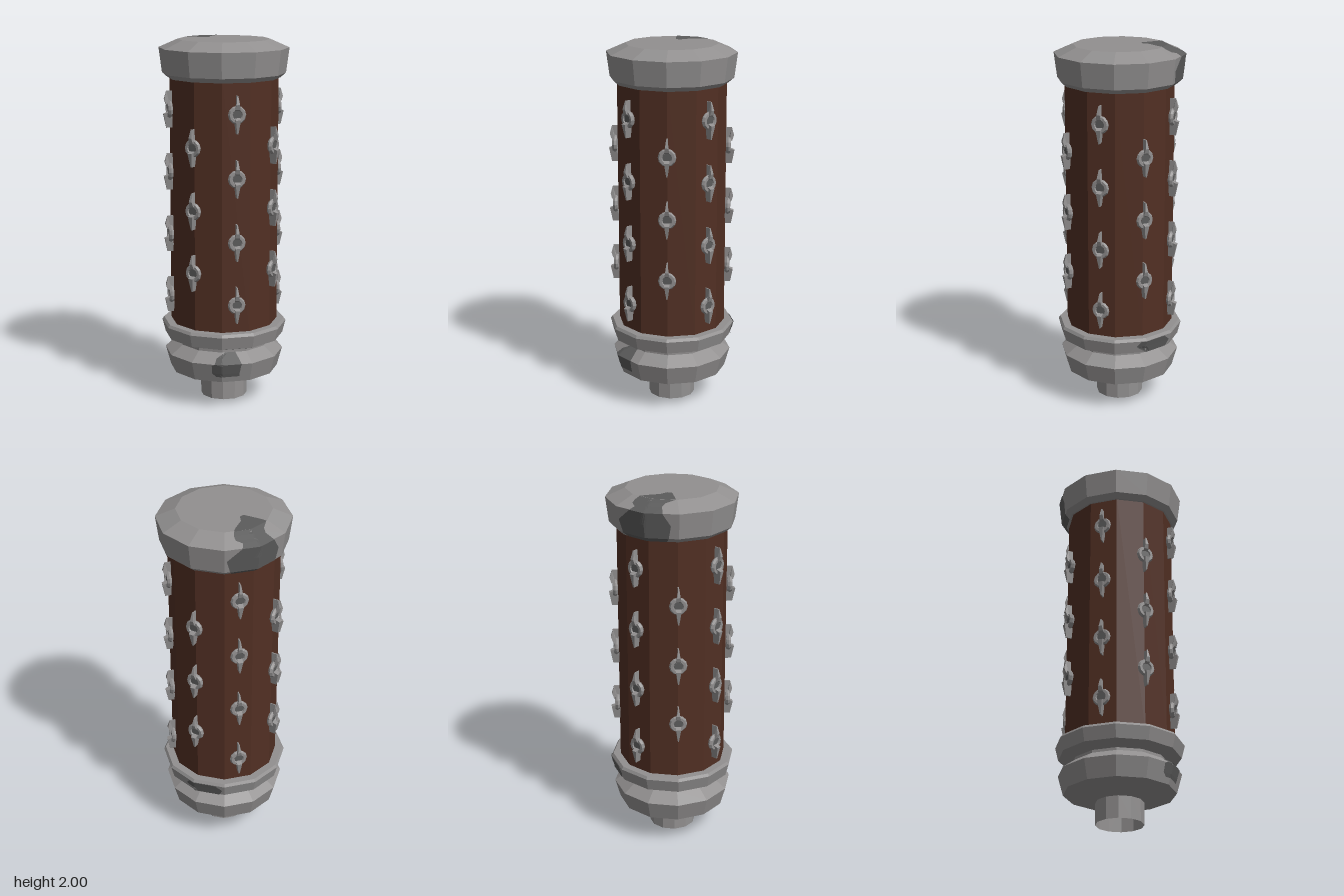
import * as THREE from 'three';

const material = (name, color) => {
  const m = new THREE.MeshStandardMaterial({ color, flatShading: true, side: THREE.DoubleSide });
  m.name = name;
  return m;
};
const metal = material('worn grey metal', 0x929090);
const tarnish = material('tarnished metal', 0x5c5c5c);
const leather = material('brown leather', 0x512f23);

const SIDES = 12;
const rad = THREE.MathUtils.degToRad;

function addMesh(parent, name, geometry, mat) {
  const mesh = new THREE.Mesh(geometry, mat);
  mesh.name = name;
  parent.add(mesh);
  return mesh;
}

// Twelve-sided turned part; each point is [flat-to-centre distance, height], bottom to top
function turned(points) {
  const k = 1 / Math.cos(Math.PI / SIDES);
  const profile = points.map(([a, y]) => new THREE.Vector2(a * k, y));
  return new THREE.LatheGeometry(profile, SIDES, Math.PI / SIDES);
}

// Thin stain following the facets; each row is [flat distance, height, start angle, end angle]
function stain(rows, lift) {
  const steps = 24, pos = [], index = [];
  rows.forEach(([a, y, from, to], r) => {
    for (let i = 0; i <= steps; i++) {
      const t = from + (to - from) * i / steps;
      const radius = (a + 0.004) / Math.cos(rad(t - 30 * Math.round(t / 30)));
      pos.push(radius * Math.cos(rad(t)), y + lift, -radius * Math.sin(rad(t)));
      if (r > 0 && i < steps) {
        const c = r * (steps + 1) + i, b = c - steps - 1;
        index.push(b, b + 1, c + 1, b, c + 1, c);
      }
    }
  });
  const g = new THREE.BufferGeometry();
  g.setAttribute('position', new THREE.Float32BufferAttribute(pos, 3));
  g.setIndex(index);
  g.computeVertexNormals();
  return g;
}

// Upright blade of a stud: x is outward, y is up, narrowing toward both tips
function bladeGeometry() {
  const outline = [[-0.02, 0.1], [0.03, 0.1], [0.042, 0.055], [0.034, 0.03], [0.018, 0.02],
    [0.018, -0.015], [0.046, -0.025], [0.032, -0.1], [-0.02, -0.1]];
  const shape = new THREE.Shape(outline.map(([x, y]) => new THREE.Vector2(x, y)));
  const g = new THREE.ExtrudeGeometry(shape, { depth: 1, bevelEnabled: false });
  const p = g.attributes.position;
  for (let i = 0; i < p.count; i++) {
    const width = 0.034 - 0.28 * Math.abs(p.getY(i));
    p.setZ(i, (p.getZ(i) - 0.5) * Math.max(width, 0.006));
  }
  return g;
}

export function createModel() {
  const model = new THREE.Group();
  model.name = 'studdedGrip';

  // Grip and end fittings
  addMesh(model, 'grip', turned([[0.285, 0.42], [0.285, 1.82]]), leather);
  addMesh(model, 'endCap', turned([[0, 1.795], [0.295, 1.795], [0.323, 1.82], [0.34, 1.955],
    [0.24, 2], [0, 2]]), metal);
  addMesh(model, 'baseCollar', turned([[0, 0.12], [0.125, 0.12], [0.29, 0.165], [0.318, 0.27],
    [0.25, 0.32], [0.25, 0.335], [0.318, 0.36], [0.335, 0.43], [0.325, 0.445], [0, 0.445]]), metal);
  addMesh(model, 'stem', turned([[0.125, 0], [0.125, 0.13]]), metal);

  // Stains on the fittings
  addMesh(model, 'capStain', stain([
    [0.295, 1.795, 82, 124], [0.323, 1.82, 80, 126], [0.332, 1.89, 77, 128], [0.34, 1.955, 90, 121],
    [0.31, 1.9685, 92, 120], [0.29, 1.9775, 86, 119], [0.265, 1.989, 85, 122], [0.24, 2, 86, 132],
    [0.21, 2, 90, 133], [0.15, 2, 107, 131], [0.115, 2, 116, 128]], 0), tarnish).position.y = -0.0005;
  addMesh(model, 'capTopStain', stain([[0.24, 1.9985, 86, 133], [0.21, 1.9985, 90, 133],
    [0.15, 1.9985, 107, 131], [0.115, 1.9985, 116, 128]], 0.003), tarnish);
  addMesh(model, 'collarStain', stain([[0.298, 0.195, 249, 273], [0.304, 0.215, 245, 273],
    [0.316, 0.262, 245, 274], [0.318, 0.27, 248, 274.5], [0.284, 0.295, 249, 273],
    [0.25, 0.32, 258, 271]], 0.002), tarnish);
  addMesh(model, 'rimStain', stain([[0.318, 0.36, 45, 70], [0.327, 0.398, 36, 73],
    [0.335, 0.43, 40, 66]], 0), tarnish);

  // Studs: four on each square side, three on each diagonal between them
  const blade = bladeGeometry();
  const ring = new THREE.TorusGeometry(0.035, 0.014, 6, 12);
  const core = new THREE.CircleGeometry(0.024, 10);
  for (let side = 0; side < 8; side++) {
    const diagonal = side % 2 === 1;
    const heights = diagonal ? [0.77, 1.11, 1.45] : [0.6, 0.945, 1.29, 1.63];
    for (const y of heights) {
      const angle = side * Math.PI / 4;
      const r = diagonal ? 0.295 : 0.287;
      const stud = new THREE.Group();
      stud.name = 'stud';
      addMesh(stud, 'studBlade', blade, metal);
      addMesh(stud, 'studRing', ring, metal).rotation.y = Math.PI / 2;
      const centre = addMesh(stud, 'studCentre', core, tarnish);
      centre.rotation.y = Math.PI / 2;
      centre.position.x = 0.02;
      stud.children[1].position.x = 0.014;
      stud.position.set(r * Math.cos(angle), y, -r * Math.sin(angle));
      stud.rotation.y = angle;
      model.add(stud);
    }
  }
  return model;
}
